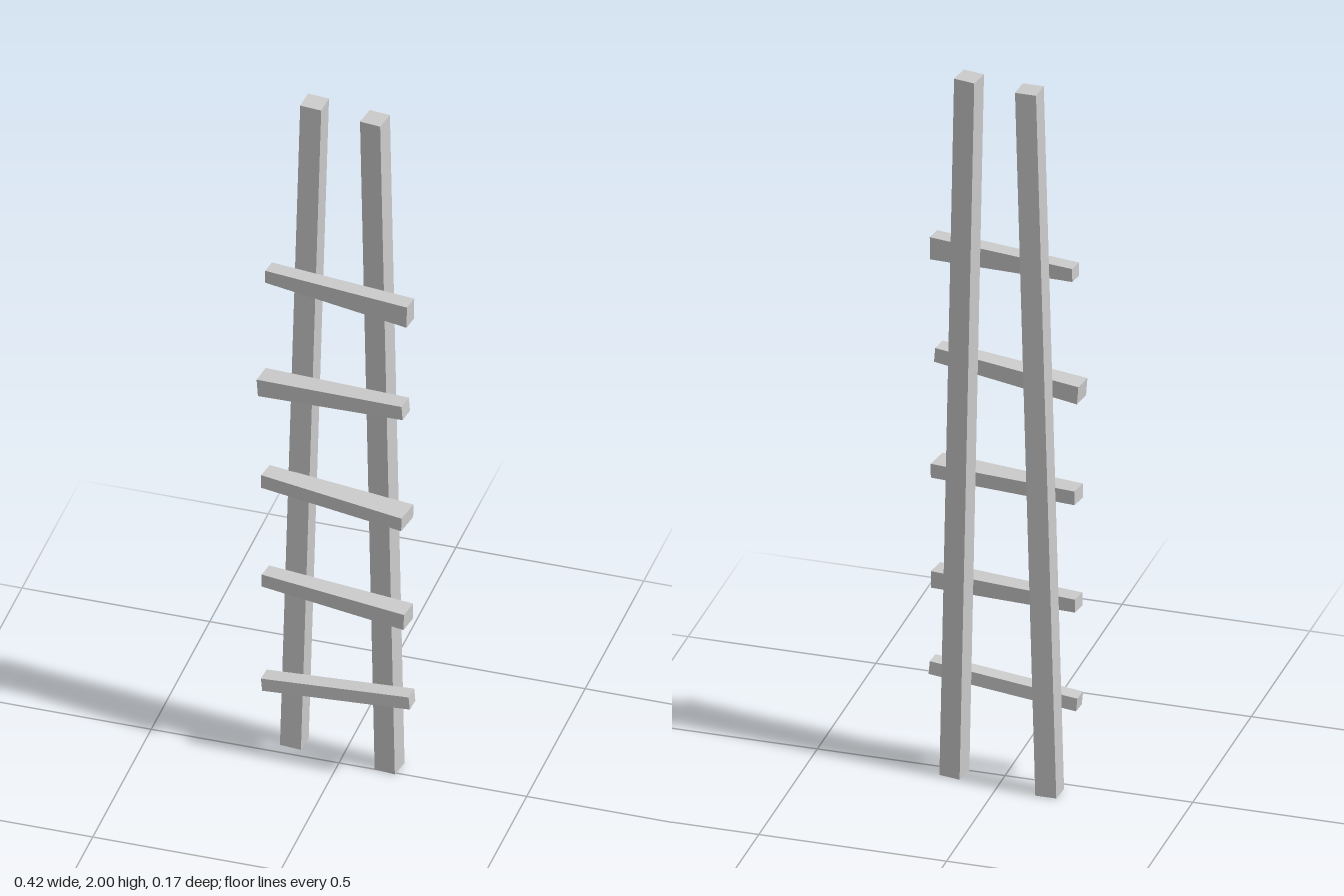
import * as THREE from 'three';

const material = new THREE.MeshStandardMaterial({ color: 0xcccccc, flatShading: true });

// Tapered plank between two ends, each [x, y, z, height, depth]
function plank(a, b) {
  const start = new THREE.Vector3(...a), end = new THREE.Vector3(...b);
  const dir = end.clone().sub(start).normalize();
  const across = new THREE.Vector3(-dir.z, 0, dir.x).normalize();
  const up = across.clone().cross(dir).normalize();
  const geometry = new THREE.BoxGeometry(1, 1, 1);
  const pos = geometry.attributes.position;
  for (let i = 0; i < pos.count; i++) {
    const right = pos.getX(i) > 0;
    const [h, d] = (right ? b : a).slice(3);
    const p = (right ? end : start).clone()
      .addScaledVector(up, pos.getY(i) * h)
      .addScaledVector(across, pos.getZ(i) * d);
    pos.setXYZ(i, p.x, p.y, p.z);
  }
  geometry.computeVertexNormals();
  return geometry;
}

export function createModel() {
  const model = new THREE.Group();
  model.name = 'ladder';

  // Upright rails, leaning together toward the top and slightly twisted
  const rails = [
    { name: 'rightRail', x: -0.109, z: -0.055, yaw: -0.053, lean: -0.0275 },
    { name: 'leftRail', x: 0.107, z: -0.027, yaw: -0.148, lean: 0.0207 },
  ];
  for (const { name, x, z, yaw, lean } of rails) {
    const rail = new THREE.Mesh(new THREE.BoxGeometry(0.057, 1.999, 0.057), material);
    rail.name = name;
    rail.position.set(x, 1, z);
    rail.rotation.set(0, yaw, lean, 'YXZ');
    model.add(rail);
  }

  // Crooked rungs across the front, bottom to top
  const rungs = [
    [[-0.192, 0.231, 0.021, 0.037, 0.043], [0.207, 0.268, 0.04, 0.037, 0.042]],
    [[-0.2, 0.531, -0.012, 0.037, 0.045], [0.198, 0.523, 0.042, 0.047, 0.056]],
    [[-0.2, 0.84, -0.012, 0.039, 0.05], [0.197, 0.834, 0.048, 0.039, 0.07]],
    [[-0.208, 1.134, -0.008, 0.05, 0.057], [0.19, 1.165, 0.039, 0.04, 0.046]],
    [[-0.192, 1.474, -0.013, 0.037, 0.041], [0.203, 1.466, 0.041, 0.063, 0.044]],
  ];
  rungs.forEach(([a, b], i) => {
    const rung = new THREE.Mesh(plank(a, b), material);
    rung.name = `rung${i + 1}`;
    model.add(rung);
  });
  return model;
}
